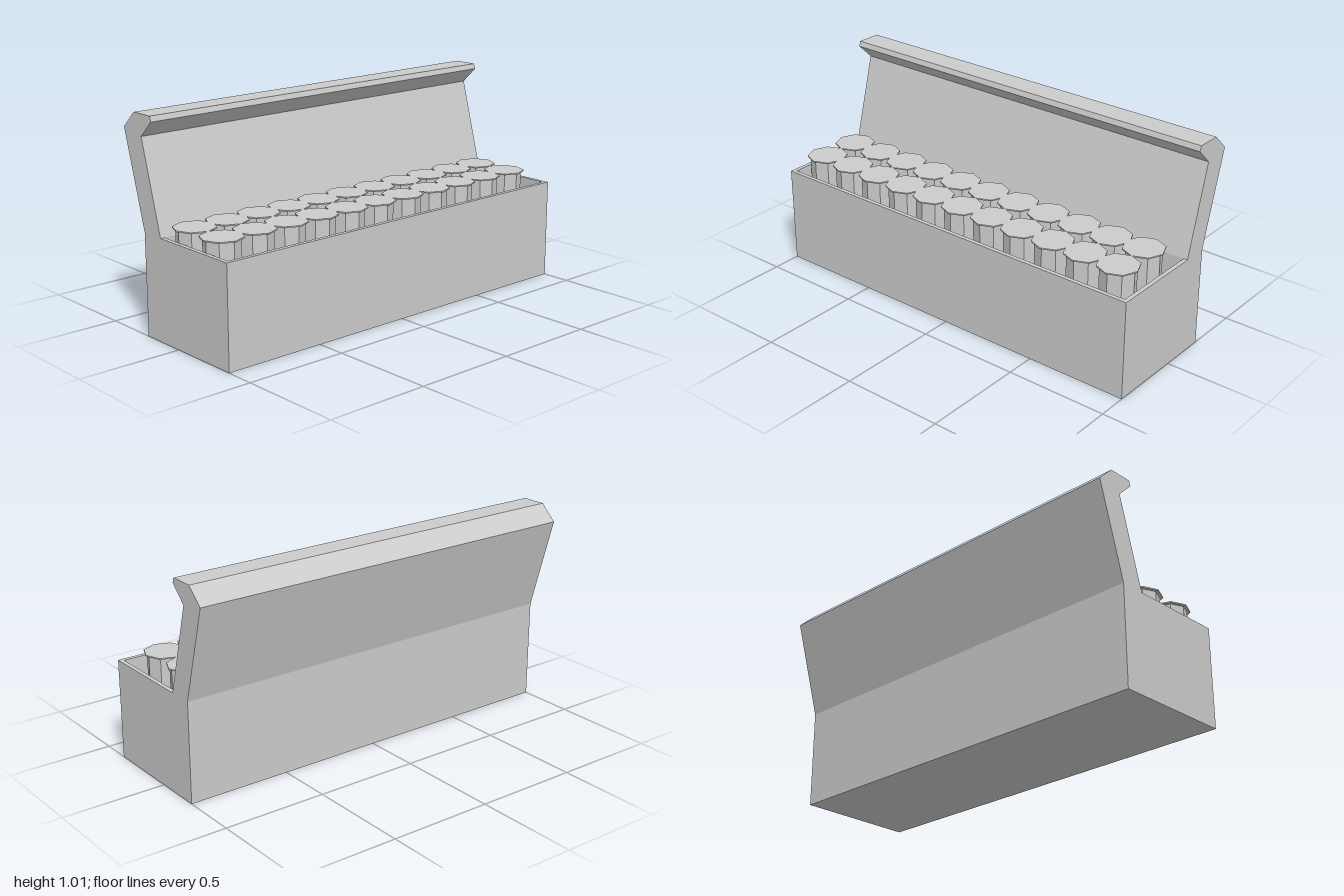
import * as THREE from 'three';

const material = new THREE.MeshStandardMaterial({ color: 0xcccccc, flatShading: true });

function part(name, geometry) {
  const mesh = new THREE.Mesh(geometry, material);
  mesh.name = name;
  return mesh;
}

const points = (list) => list.map(([a, b]) => new THREE.Vector2(a, b));

export function createModel() {
  const model = new THREE.Group();
  model.name = 'canBox';

  // Open tray: thin front and side walls, thick back wall under the lid
  const rimY = 0.48, floorY = 0.02;
  const outline = new THREE.Shape(points([[-1, -0.36], [1, -0.36], [1, 0.23], [-1, 0.23]]));
  outline.holes.push(new THREE.Path(points([[-0.98, -0.34], [-0.98, 0.11], [0.98, 0.11], [0.98, -0.34]])));
  const walls = new THREE.ExtrudeGeometry(outline, { depth: rimY, bevelEnabled: false });
  walls.rotateX(-Math.PI / 2);
  model.add(part('trayWalls', walls));

  const floor = new THREE.BoxGeometry(1.96, floorY, 0.45);
  floor.translate(0, floorY / 2, 0.115);
  model.add(part('trayFloor', floor));

  // Leaning lid with a hooked lip, profile in (z, y)
  const profile = new THREE.Shape(points([
    [-0.11, rimY], [-0.23, 0.91], [-0.152, 0.985], [-0.16, 1.01],
    [-0.28, 1.01], [-0.36, 0.935], [-0.23, rimY],
  ]));
  const lid = new THREE.ExtrudeGeometry(profile, { depth: 2, bevelEnabled: false });
  lid.rotateY(-Math.PI / 2);
  lid.translate(1, 0, 0);
  model.add(part('lid', lid));

  // Two rows of eight-sided cans with wider, overlapping caps
  const bodyTop = 0.534, capTop = 0.54;
  const body = new THREE.CylinderGeometry(0.084, 0.084, bodyTop - floorY, 8);
  body.translate(0, (bodyTop + floorY) / 2, 0);
  const cap = new THREE.CylinderGeometry(0.098, 0.098, capTop - bodyTop, 8);
  cap.translate(0, (capTop + bodyTop) / 2, 0);
  const columns = 11;
  for (const z of [0.2, 0.006]) {
    for (let i = 0; i < columns; i++) {
      const can = new THREE.Group();
      can.name = 'can';
      can.add(part('canBody', body), part('canCap', cap));
      can.position.set(THREE.MathUtils.lerp(-0.902, 0.848, i / (columns - 1)), 0, z);
      model.add(can);
    }
  }
  return model;
}
